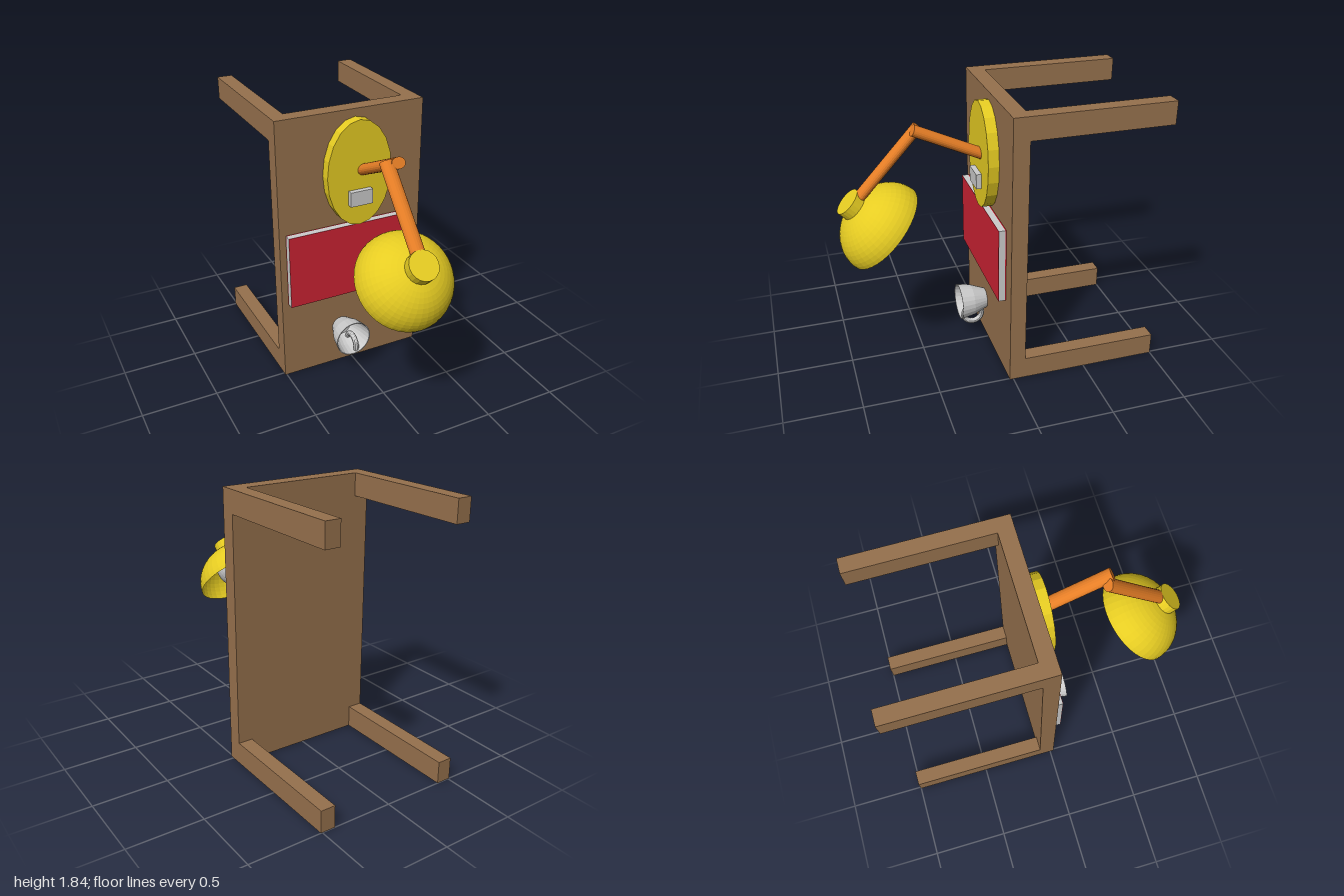
import * as THREE from 'three';

const mat = (color) => new THREE.MeshStandardMaterial({ color, flatShading: true, side: THREE.DoubleSide });

export function createModel() {
  const model = new THREE.Group();
  const wood = mat(0x96714d), yellow = mat(0xe6cc22), orange = mat(0xe67e26);
  const red = mat(0xcc2233), grey = mat(0xcccccc);

  const add = (name, geometry, material, parent = model) => {
    const mesh = new THREE.Mesh(geometry, material);
    mesh.name = name;
    parent.add(mesh);
    return mesh;
  };

  // Box given by its lower and upper corners
  const box = (name, [x0, y0, z0], [x1, y1, z1], material) =>
    add(name, new THREE.BoxGeometry(x1 - x0, y1 - y0, z1 - z0), material)
      .position.set((x0 + x1) / 2, (y0 + y1) / 2, (z0 + z1) / 2);

  // Slightly flattened rod lying in a plane of constant x
  const rod = (name, x, [y0, z0], [y1, z1]) => {
    const length = Math.hypot(y1 - y0, z1 - z0);
    const geometry = new THREE.CylinderGeometry(1, 1, length, 20).scale(0.046, 1, 0.036);
    const mesh = add(name, geometry, orange);
    mesh.position.set(x, (y0 + y1) / 2, (z0 + z1) / 2);
    mesh.rotation.x = Math.atan2(z1 - z0, y1 - y0);
  };

  // Table tipped onto its side
  box('tableTop', [-0.51, 0, -0.08], [0.51, 1.84, 0.025], wood);
  for (const x of [-0.51, 0.41])
    for (const y of [0, 1.69])
      box('tableLeg', [x, y, -1], [x + 0.1, y + 0.15, -0.08], wood);

  // Lamp base and switch
  const base = add('lampBase', new THREE.CylinderGeometry(1, 1, 0.07, 20).scale(0.226, 1, 0.355), yellow);
  base.rotation.x = Math.PI / 2;
  base.position.set(0.025, 1.435, 0.06);
  box('lampSwitch', [-0.055, 1.23, 0.06], [0.1, 1.33, 0.13], grey);

  // Lamp arms
  rod('lowerArm', 0.055, [1.445, 0.065], [1.655, 0.515]);
  rod('upperArm', 0, [1.655, 0.468], [1.215, 0.872]);

  // Lamp head: open shade, collar and bulb
  const head = new THREE.Group();
  head.name = 'lampHead';
  head.position.set(-0.008, 0.99, 0.716);
  head.rotation.x = Math.PI / 4;
  model.add(head);
  const dome = new THREE.SphereGeometry(1, 40, 14, 0, Math.PI * 2, 0, Math.PI / 2);
  add('lampShade', dome.scale(0.31, 0.257, 0.309), yellow, head);
  add('shadeCollar', new THREE.CylinderGeometry(0.094, 0.094, 0.07, 20), yellow, head).position.y = 0.272;
  add('bulb', new THREE.SphereGeometry(0.15, 32, 20), grey, head).position.y = 0.1;

  // Book: pages between two covers
  box('bookBackCover', [-0.465, 0.565, 0.022], [0.405, 1.075, 0.032], red);
  box('bookPages', [-0.465, 0.565, 0.032], [0.405, 1.075, 0.073], grey);
  box('bookFrontCover', [-0.465, 0.565, 0.073], [0.405, 1.075, 0.075], red);

  // Mug opening towards the front, with a ring handle
  const profile = [[0, 0], [0.068, 0], [0.108, 0.1], [0.125, 0.192], [0.119, 0.192], [0.102, 0.1], [0.066, 0.01], [0, 0.01]]
    .map(([r, h]) => new THREE.Vector2(r, h));
  const mug = add('mug', new THREE.LatheGeometry(profile, 24), grey);
  mug.rotation.x = Math.PI / 2;
  mug.position.set(-0.078, 0.283, 0.023);
  const handle = add('mugHandle', new THREE.TorusGeometry(0.065, 0.019, 10, 24), grey);
  handle.rotation.y = Math.PI / 2;
  handle.position.set(-0.046, 0.19, 0.125);

  return model;
}
